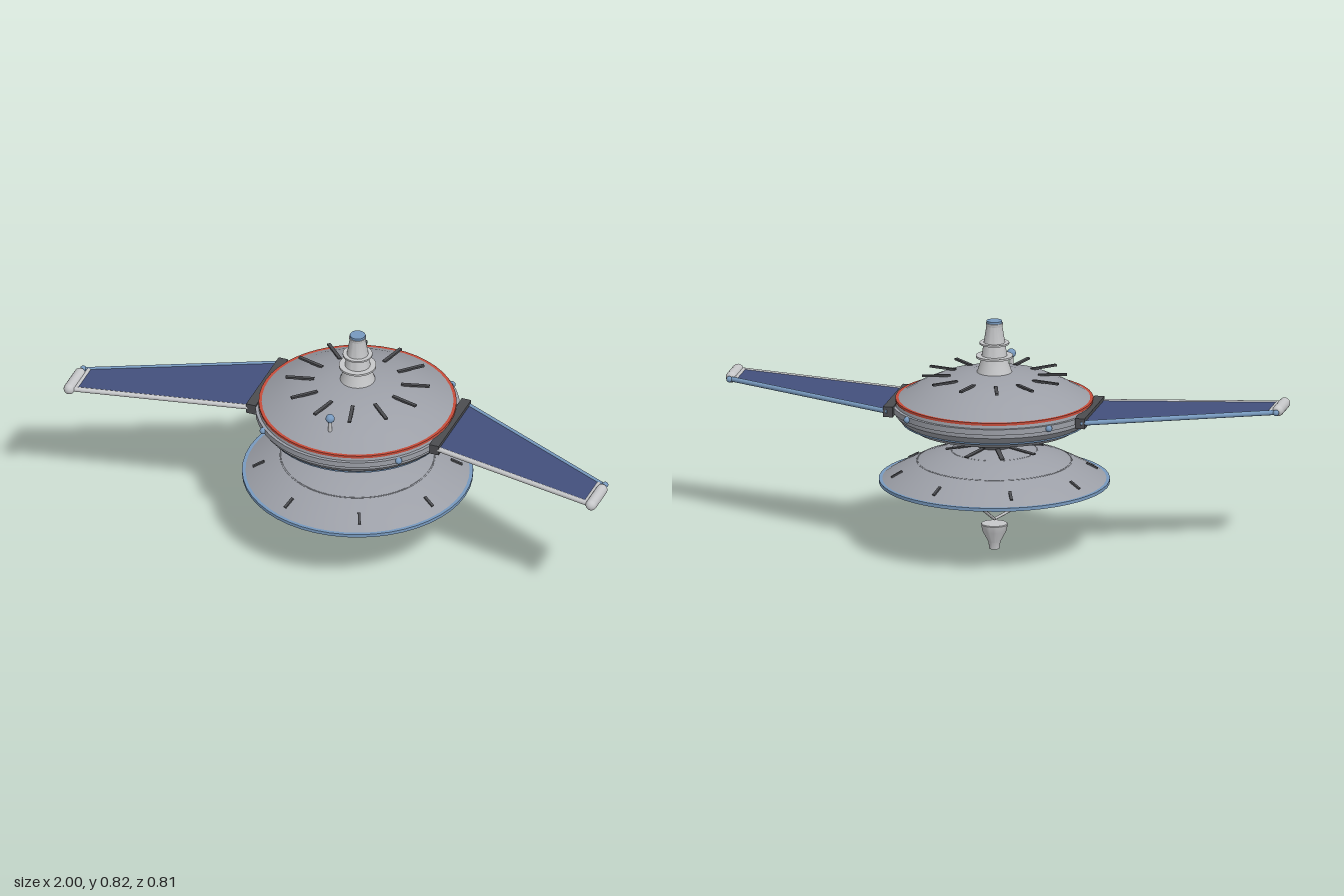
import * as THREE from 'three';
import { toCreasedNormals } from 'three/addons/utils/BufferGeometryUtils.js';

const material = (name, color, side = THREE.FrontSide) => {
  const m = new THREE.MeshStandardMaterial({ color, side });
  m.name = name;
  return m;
};

export function createModel() {
  const hull = material('hull grey', 0x9c9fa7);
  const dishGrey = material('dish grey', 0x9c9fa7, THREE.DoubleSide);
  const pale = material('pale grey', 0xc6c7c9);
  const dark = material('dark grey', 0x4b4c50);
  const blue = material('light blue', 0x7799be);
  const red = material('signal red', 0xc64b39);
  const navy = material('panel navy', 0x43507c);

  const model = new THREE.Group();
  model.name = 'spacecraft';

  const add = (parent, name, geometry, mat, x = 0, y = 0, z = 0) => {
    const mesh = new THREE.Mesh(geometry, mat);
    mesh.name = name;
    mesh.position.set(x, y, z);
    parent.add(mesh);
    return mesh;
  };
  // Profiles run from bottom to top
  const lathe = (name, points, mat, segments = 48) => {
    const g = new THREE.LatheGeometry(points.map(([r, y]) => new THREE.Vector2(r, y)), segments);
    return add(model, name, toCreasedNormals(g, 0.5), mat);
  };
  const disc = (name, r, y0, y1, mat) =>
    add(model, name, new THREE.CylinderGeometry(r, r, y1 - y0, 48), mat, 0, (y0 + y1) / 2, 0);
  const ball = (parent, name, r, x, y, z) =>
    add(parent, name, new THREE.SphereGeometry(r, 16, 12), blue, x, y, z);
  // Round bar between two points
  const bar = (parent, name, a, b, r, mat) => {
    const from = new THREE.Vector3(...a), to = new THREE.Vector3(...b);
    const mesh = add(parent, name, new THREE.CylinderGeometry(r, r, from.distanceTo(to), 10), mat);
    mesh.position.copy(from).lerp(to, 0.5);
    mesh.quaternion.setFromUnitVectors(new THREE.Vector3(0, 1, 0), to.sub(from).normalize());
    return mesh;
  };
  // Ring of radial plates, sloping down outwards by tilt
  const radialPlates = (name, count, r, y, [length, height, width], tilt) => {
    const ring = new THREE.Group();
    ring.name = name + 's';
    for (let i = 0; i < count; i++) {
      const spoke = new THREE.Group();
      spoke.rotation.y = ((i + 0.5) / count) * Math.PI * 2;
      const plate = add(spoke, name, new THREE.BoxGeometry(length, height, width), dark, r, y, 0);
      plate.rotation.z = -tilt;
      ring.add(spoke);
    }
    model.add(ring);
  };

  // Saucer body with its bands
  lathe('saucer', [[0, 0.418], [0.1, 0.418], [0.19, 0.421], [0.29, 0.444], [0.318, 0.463],
    [0.335, 0.476], [0.348, 0.492], [0.35, 0.515], [0.342, 0.543], [0.278, 0.58],
    [0.2, 0.616], [0.09, 0.64], [0, 0.641]], hull);
  disc('saucerRim', 0.358, 0.507, 0.527, hull);
  disc('redBand', 0.346, 0.538, 0.547, red);
  disc('lowerBand', 0.325, 0.463, 0.472, blue);
  radialPlates('deckFin', 12, 0.203, 0.627, [0.1, 0.007, 0.012], 0);
  for (let i = 0; i < 4; i++) {
    const a = (i + 0.5) * Math.PI / 2;
    ball(model, 'rimLight', 0.012, 0.36 * Math.cos(a), 0.517, 0.36 * Math.sin(a));
  }

  // Tower on top
  lathe('tower', [[0.062, 0.638], [0.052, 0.668], [0.045, 0.697], [0.038, 0.744],
    [0.028, 0.806], [0.03, 0.812], [0.03, 0.817], [0, 0.817]], pale, 32);
  disc('lowerTowerDisc', 0.065, 0.693, 0.7, pale);
  disc('upperTowerDisc', 0.052, 0.741, 0.747, pale);
  disc('towerCap', 0.027, 0.815, 0.825, blue);

  // Forward antenna
  bar(model, 'antennaMast', [0, 0.58, 0.262], [0, 0.63, 0.262], 0.007, pale);
  ball(model, 'antennaBall', 0.016, 0, 0.637, 0.262);

  // Neck and hollow dish
  disc('neck', 0.06, 0.365, 0.422, dark);
  lathe('dish', [[0.4, 0.25], [0.36, 0.274], [0.28, 0.316], [0.19, 0.349], [0.1, 0.369],
    [0, 0.376]], dishGrey);
  const rim = add(model, 'dishRim', toCreasedNormals(new THREE.LatheGeometry(
    [[0.39, 0.243], [0.404, 0.243], [0.404, 0.255], [0.39, 0.255], [0.39, 0.243]]
      .map(([r, y]) => new THREE.Vector2(r, y)), 48), 0.5), blue);
  rim.material = blue;
  radialPlates('neckFin', 8, 0.12, 0.372, [0.105, 0.004, 0.016], 0.09);
  radialPlates('dishSlot', 8, 0.345, 0.282, [0.044, 0.01, 0.01], 0.5);
  for (const [r, y] of [[0.27, 0.318], [0.15, 0.356], [0.035, 0.371]]) {
    const ring = add(model, 'innerDishRing', new THREE.TorusGeometry(r, 0.003, 6, 48), hull, 0, y, 0);
    ring.rotation.x = Math.PI / 2;
  }

  // Three struts meeting above the feed horn
  for (let i = 0; i < 3; i++) {
    const a = Math.PI + (i * Math.PI * 2) / 3;
    bar(model, 'feedStrut', [0.31 * Math.sin(a), 0.247, 0.31 * Math.cos(a)], [0, 0.106, 0], 0.005, pale);
  }
  lathe('feedHorn', [[0, 0], [0.018, 0], [0.021, 0.024], [0.042, 0.064], [0.047, 0.088],
    [0.045, 0.091], [0, 0.091]], pale, 32);

  // Mirrored wings
  for (const s of [1, -1]) {
    const wing = new THREE.Group();
    wing.name = s > 0 ? 'leftWing' : 'rightWing';
    model.add(wing);
    const y = 0.517;
    add(wing, 'wingRoot', new THREE.BoxGeometry(0.035, 0.037, 0.31), dark, s * 0.344, y - 0.001, -0.01);
    const outline = new THREE.Shape([[0.34, -0.155], [0.96, 0.127], [0.96, 0.252], [0.34, 0.128]]
      .map(([x, z]) => new THREE.Vector2(s * x, z)));
    const panel = new THREE.ExtrudeGeometry(outline, { depth: 0.01, bevelEnabled: false });
    panel.rotateX(Math.PI / 2);
    add(wing, 'solarPanel', panel, navy, 0, y + 0.005, 0);
    bar(wing, 'rearSpar', [s * 0.345, y, -0.16], [s * 0.97, y, 0.13], 0.009, blue);
    bar(wing, 'frontSpar', [s * 0.345, y, 0.134], [s * 0.97, y, 0.258], 0.009, pale);
    bar(wing, 'tipSpar', [s * 0.958, y, 0.13], [s * 0.958, y, 0.255], 0.009, pale);
    const pod = add(wing, 'tipPod', new THREE.CapsuleGeometry(0.02, 0.1, 6, 16), pale, s * 0.98, y, 0.21);
    pod.rotation.x = Math.PI / 2;
    ball(wing, 'tipLight', 0.011, s * 0.98, y, 0.127);
  }
  return model;
}
